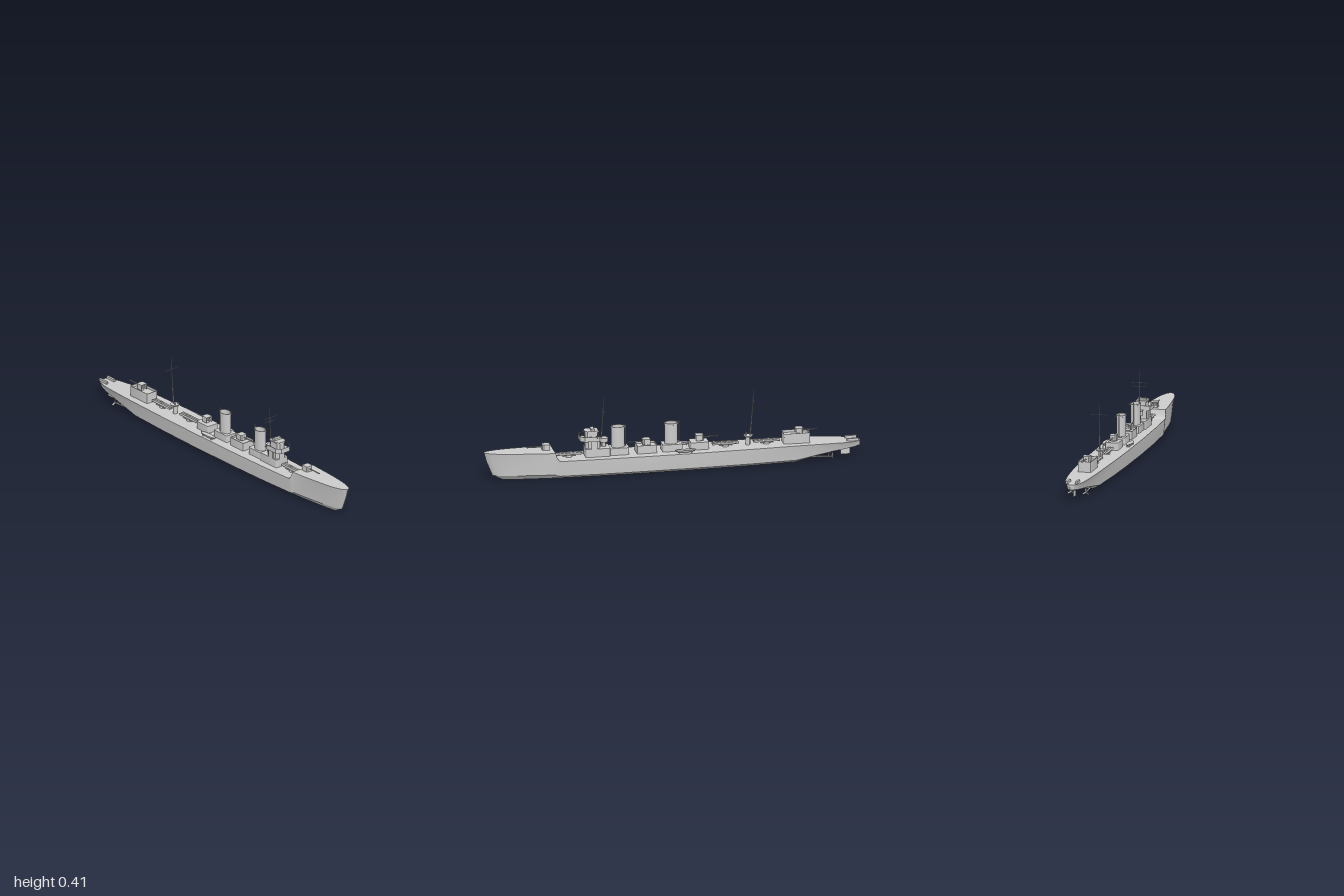
import * as THREE from 'three';
import { toCreasedNormals } from 'three/addons/utils/BufferGeometryUtils.js';

const mat = new THREE.MeshStandardMaterial({ color: 0xcccccc });
const thin = new THREE.MeshStandardMaterial({ color: 0xcccccc, side: THREE.DoubleSide });

function add(parent, name, geo, x = 0, y = 0, z = 0, m = mat) {
  const mesh = new THREE.Mesh(geo, m);
  mesh.name = name;
  mesh.position.set(x, y, z);
  parent.add(mesh);
  return mesh;
}
const box = (p, name, w, h, d, x, y, z) => add(p, name, new THREE.BoxGeometry(w, h, d), x, y, z);

// Round bar between two points
function rod(p, name, a, b, r, r2 = r, sides = 8) {
  const A = new THREE.Vector3(...a), B = new THREE.Vector3(...b);
  const m = add(p, name, new THREE.CylinderGeometry(r2, r, A.distanceTo(B), sides));
  m.position.copy(A).lerp(B, 0.5);
  m.quaternion.setFromUnitVectors(new THREE.Vector3(0, 1, 0), B.sub(A).normalize());
  return m;
}

// Plan shapes are drawn as (x, -z) and raised upwards
function raise(p, name, shape, y0, y1) {
  const g = new THREE.ExtrudeGeometry(shape, { depth: y1 - y0, bevelEnabled: false, curveSegments: 6 });
  g.rotateX(-Math.PI / 2);
  return add(p, name, toCreasedNormals(g, 0.6), 0, y0, 0);
}
function roundRect(w, z0, z1, r, T = THREE.Shape) {
  const s = new T(), a = -z1, b = -z0;
  s.moveTo(-w + r, a); s.lineTo(w - r, a); s.quadraticCurveTo(w, a, w, a + r);
  s.lineTo(w, b - r); s.quadraticCurveTo(w, b, w - r, b);
  s.lineTo(-w + r, b); s.quadraticCurveTo(-w, b, -w, b - r);
  s.lineTo(-w, a + r); s.quadraticCurveTo(-w, a, -w + r, a);
  return s;
}
const poly = (pts, T = THREE.Shape) => new T(pts.map(([x, z]) => new THREE.Vector2(x, -z)));

// Deckhouse, optionally with a low bulwark round its roof
function house(p, name, w, z0, z1, y0, y1, rim = 0) {
  raise(p, name, roundRect(w, z0, z1, 0.008), y0, y1);
  if (rim) {
    const s = roundRect(w, z0, z1, 0.008);
    s.holes.push(roundRect(w - 0.003, z0 + 0.003, z1 - 0.003, 0.006, THREE.Path));
    raise(p, name + 'Bulwark', s, y1, y1 + rim);
  }
}

// Hull lofted from stations: z, deck y, deck half-width, side half-width, bottom half-width, bottom y
function hull(p) {
  const st = [
    [1, .155, .002, .002, .001, 0], [.992, .155, .015, .008, .002, 0], [.97, .154, .026, .016, .004, 0],
    [.93, .153, .038, .026, .007, 0], [.87, .152, .048, .035, .012, 0], [.78, .150, .058, .047, .02, 0],
    [.7, .148, .065, .057, .028, 0], [.632, .147, .069, .065, .034, 0], [.625, .122, .072, .066, .034, 0],
    [.616, .108, .073, .067, .035, 0], [.605, .102, .073, .068, .036, 0], [.4, .102, .081, .078, .045, 0],
    [.15, .102, .086, .083, .05, 0], [-.15, .102, .087, .083, .05, 0], [-.4, .102, .084, .078, .045, 0],
    [-.65, .101, .076, .066, .033, 0], [-.75, .099, .07, .059, .026, .02], [-.85, .096, .061, .05, .02, .039],
    [-.92, .093, .051, .04, .015, .047], [-.97, .091, .036, .026, .01, .053],
    [-.992, .09, .02, .014, .006, .058], [-1, .09, .004, .003, .002, .062],
  ];
  const pos = [], idx = [];
  for (const [z, yd, wd, ws, wb, yb] of st) {
    const k = Math.max(0, (z - 0.75) / 0.25) ** 2;
    const low = yb + (yd - yb) * 0.18, mid = yb + (yd - yb) * 0.7;
    const half = [[wd, yd, 0], [wd * 0.35 + ws * 0.65, mid, .012], [ws * 0.94, low, .045], [wb, yb, .1]];
    const ring = [...half, ...half.slice().reverse().map(([x, y, r]) => [-x, y, r])];
    for (const [x, y, r] of ring) pos.push(x, y, z - r * k);
  }
  for (let i = 0; i < st.length - 1; i++) for (let j = 0; j < 8; j++) {
    const a = i * 8 + j, b = i * 8 + (j + 1) % 8, c = b + 8, d = a + 8;
    idx.push(a, b, d, b, c, d);
  }
  const e = (st.length - 1) * 8;
  for (let j = 1; j < 7; j++) idx.push(0, j + 1, j, e, e + j, e + j + 1);
  const g = new THREE.BufferGeometry();
  g.setAttribute('position', new THREE.Float32BufferAttribute(pos, 3));
  g.setIndex(idx);
  add(p, 'hull', toCreasedNormals(g, 0.45));
}

// Deck gun with a three-sided shield; dir = 1 points to the bow
function gun(p, name, y, z, dir) {
  const g = new THREE.Group();
  g.name = name;
  add(g, 'gunPedestal', new THREE.CylinderGeometry(.01, .013, .016, 12), 0, .008, 0);
  raise(g, 'gunShield', poly([[-.019, -.02], [-.016, -.02], [-.016, .017], [.016, .017],
    [.016, -.02], [.019, -.02], [.019, .013], [.014, .02], [-.014, .02], [-.019, .013]].reverse()), .004, .031);
  raise(g, 'gunRoof', poly([[-.019, -.02], [-.019, .013], [-.014, .02], [.014, .02], [.019, .013], [.019, -.02]]), .031, .034);
  box(g, 'gunBreech', .012, .012, .028, 0, .019, -.004);
  rod(g, 'gunBarrel', [0, .019, .01], [0, .019, .1], .0035, .0025);
  g.position.set(0, y, z);
  if (dir < 0) g.rotation.y = Math.PI;
  p.add(g);
}

// Trainable torpedo mount
function torpedoMount(p, z) {
  const g = new THREE.Group();
  g.name = 'torpedoMount';
  add(g, 'mountBase', new THREE.CylinderGeometry(.016, .018, .012, 16), 0, .006, 0);
  box(g, 'mountPlatform', .036, .003, .07, 0, .0125, 0);
  for (const x of [-.012, 0, .012]) rod(g, 'torpedoTube', [x, .019, -.07], [x, .019, .07], .0052, .0052, 12);
  box(g, 'aimingSeat', .012, .008, .014, 0, .026, -.012);
  g.position.set(0, .1, z);
  p.add(g);
}

function funnel(p, z) {
  house(p, 'funnelBase', .034, z - .055, z + .05, .1, .14);
  const prof = [[.92, .13], [.92, .243], [1, .244], [1, .252], [.86, .252], [.86, .2], [0, .2]];
  const f = add(p, 'funnel', toCreasedNormals(new THREE.LatheGeometry(
    prof.map(([x, y]) => new THREE.Vector2(x, y)), 28), .6), 0, 0, z, thin);
  f.scale.set(.027, 1, .038);
  rod(p, 'steamPipe', [0, .13, z - .042], [0, .262, z - .042], .0025);
}

function mast(p, z, y0, rake) {
  const at = t => [0, y0 + (.407 - y0) * t, z - rake * t];
  rod(p, 'mast', at(0), at(.62), .004, .0025);
  rod(p, 'topmast', at(.6), at(1), .0024, .0013);
}
function yard(p, y, z, w) { rod(p, 'yard', [-w, y, z], [w, y, z], .0013); }

function bridge(p) {
  const plan = (w, z0, z1, c) => [[-w, z0], [w, z0], [w, z1 - c], [w - c, z1], [-w + c, z1], [-w, z1 - c]];
  house(p, 'bridgeDeckhouse', .04, .335, .465, .1, .146);
  raise(p, 'bridgeTower', poly(plan(.031, .39, .465, .015)), .146, .192);
  raise(p, 'bridgeFloor', poly(plan(.049, .392, .495, .022)), .19, .195);
  const wall = poly(plan(.049, .392, .495, .022));
  wall.holes.push(poly(plan(.046, .395, .492, .021), THREE.Path));
  raise(p, 'bridgeBulwark', wall, .195, .216);
  raise(p, 'wheelhouse', poly(plan(.025, .4, .465, .01)), .195, .234);
  raise(p, 'wheelhouseRoof', poly(plan(.03, .395, .468, .012)), .234, .241);
  box(p, 'rangefinder', .044, .01, .018, 0, .246, .425);
  for (const s of [-1, 1]) {
    rod(p, 'bridgeWingGun', [s * .036, .214, .41], [s * .07, .214, .41], .0016);
    rod(p, 'lookoutPost', [s * .02, .24, .42], [s * .02, .26, .42], .0015);
    box(p, 'bridgeSideLocker', .012, .05, .03, s * .034, .168, .42);
  }
  // Searchlight stand behind the tower
  add(p, 'searchlightPlatform', new THREE.CylinderGeometry(.021, .021, .022, 16), 0, .183, .362);
  rod(p, 'searchlightColumn', [0, .1, .362], [0, .175, .362], .01);
}

export function createModel() {
  const ship = new THREE.Group();
  ship.name = 'warship';
  hull(ship);
  bridge(ship);

  // Funnels, deckhouses and guns from bow to stern
  gun(ship, 'foreGun', .146, .672, 1);
  funnel(ship, .288);
  house(ship, 'midDeckhouse', .037, .085, .192, .1, .136, .01);
  gun(ship, 'midGun', .139, .138, 1);
  funnel(ship, .005);
  house(ship, 'aftMidDeckhouse', .035, -.19, -.095, .1, .142);
  gun(ship, 'aftMidGun', .142, -.145, -1);
  house(ship, 'aftDeckhouse', .036, -.728, -.588, .1, .142, .014);
  gun(ship, 'aftGun', .143, -.675, -1);

  for (const z of [.55, -.283, -.502]) torpedoMount(ship, z);

  // Masts and yards
  mast(ship, .38, .1, .017);
  yard(ship, .343, .366, .043);
  yard(ship, .323, .367, .035);
  mast(ship, -.412, .1, .025);
  yard(ship, .343, -.432, .043);
  add(ship, 'aftPlatformColumn', new THREE.CylinderGeometry(.011, .011, .048, 12), 0, .124, -.402);
  add(ship, 'aftPlatform', new THREE.CylinderGeometry(.025, .022, .008, 20), 0, .15, -.405);
  for (const s of [-1, 1]) rod(ship, 'lightGun', [s * .01, .15, -.39], [s * .01, .172, -.395], .002);

  for (const s of [-1, 1]) {
    // Ship's boat
    const boat = add(ship, 'boat', new THREE.SphereGeometry(1, 20, 8, 0, Math.PI * 2, Math.PI / 2, Math.PI / 2),
      s * .064, .118, -.058, thin);
    boat.scale.set(.015, .015, .057);
    const cover = add(ship, 'boatCover', new THREE.CircleGeometry(1, 24), s * .064, .117, -.058);
    cover.rotation.x = -Math.PI / 2;
    cover.scale.set(.015, .057, 1);
    for (const z of [-.09, -.025]) box(ship, 'boatChock', .018, .01, .004, s * .064, .105, z);

    // Depth charge rail
    box(ship, 'depthChargeRail', .011, .013, .062, s * .025, .099, -.955);

    // Propeller shaft, bracket and three-bladed screw
    rod(ship, 'propellerShaft', [s * .03, .024, -.66], [s * .04, .02, -.85], .004);
    rod(ship, 'shaftBracket', [s * .039, .02, -.825], [s * .026, .06, -.825], .003);
    const screw = new THREE.Group();
    screw.name = 'propeller';
    for (let i = 0; i < 3; i++) {
      const arm = new THREE.Group();
      const blade = add(arm, 'propellerBlade', new THREE.BoxGeometry(.009, .02, .002), 0, .01, 0);
      blade.rotation.y = .5;
      arm.rotation.z = i * Math.PI * 2 / 3;
      screw.add(arm);
    }
    screw.position.set(s * .04, .02, -.845);
    ship.add(screw);
  }

  // Rudder
  box(ship, 'rudder', .005, .044, .05, 0, .036, -.922);
  return ship;
}
